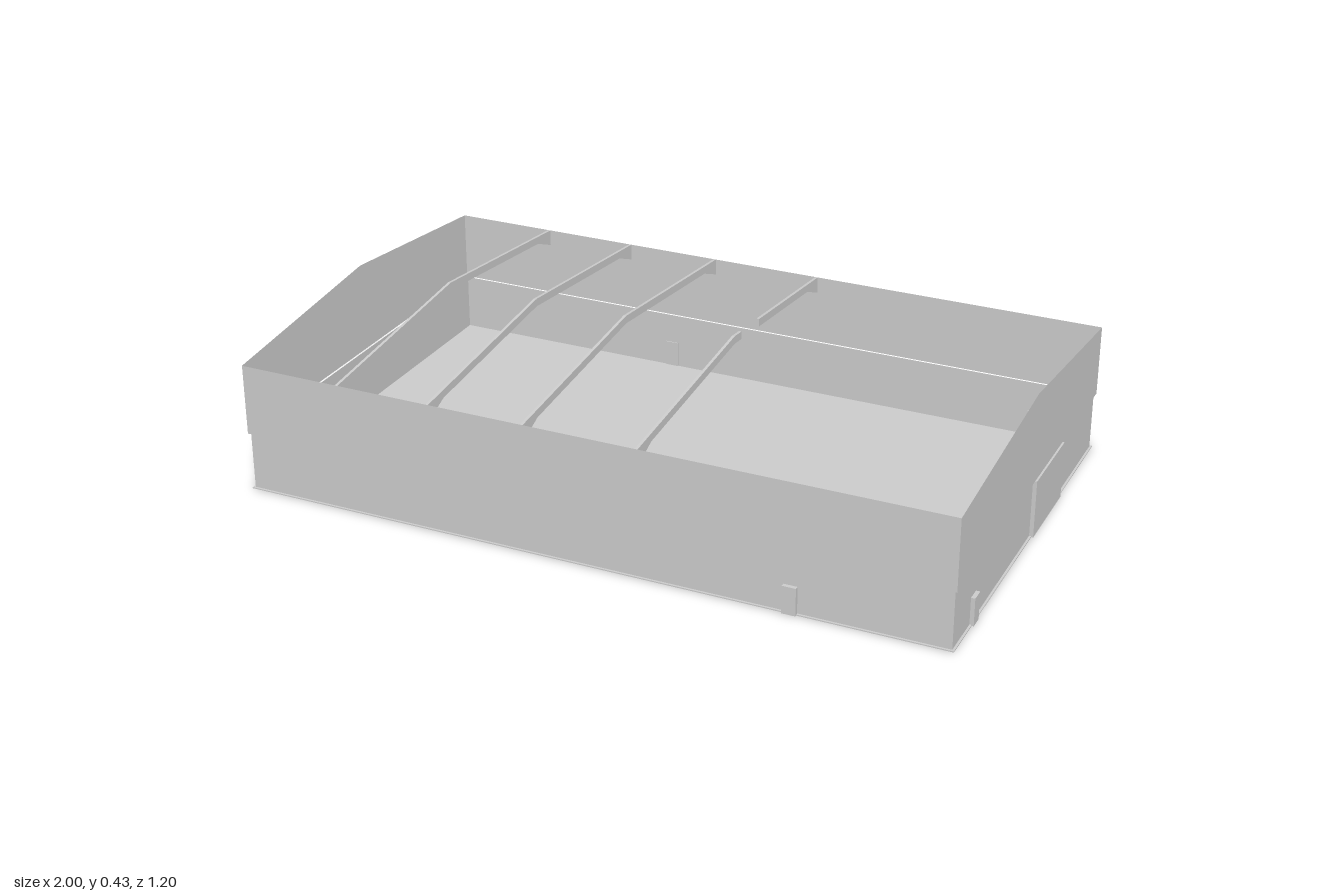
import * as THREE from 'three';

const X = 0.995, Z = 0.595;      // half length and half width of the hall
const EAVE = 0.365, PEAK = 0.425; // roof heights
const SILL = 0.165, INSET = 0.006; // lower wall height and setback

const material = new THREE.MeshStandardMaterial({ color: 0xcccccc, flatShading: true, side: THREE.DoubleSide });

export function createModel() {
  const group = new THREE.Group();

  const add = (name, geometry, x = 0, y = 0, z = 0, turn = 0) => {
    const mesh = new THREE.Mesh(geometry, material);
    mesh.name = name;
    mesh.position.set(x, y, z);
    mesh.rotation.y = turn;
    group.add(mesh);
  };
  const box = (name, w, h, d, x, y, z) => add(name, new THREE.BoxGeometry(w, h, d), x, y + h / 2, z);
  const outline = (points) => new THREE.Shape(points.map(([a, b]) => new THREE.Vector2(a, b)));

  // Floor slab
  box('floor', 2 * X, 0.003, 2 * Z, 0, 0, 0);

  // Thin walls: a set-back lower band, upper panels and gables above it
  const gable = new THREE.ShapeGeometry(outline([[-Z, SILL], [Z, SILL], [Z, EAVE], [0, PEAK], [-Z, EAVE]]));
  for (const s of [1, -1]) {
    const turn = s > 0 ? 0 : Math.PI;
    add('upperSideWall', new THREE.PlaneGeometry(2 * X, EAVE - SILL), 0, (EAVE + SILL) / 2, s * Z, turn);
    add('lowerSideWall', new THREE.PlaneGeometry(2 * (X - INSET), SILL), 0, SILL / 2, s * (Z - INSET), turn);
    add('gableWall', gable, s * X, 0, 0, s * Math.PI / 2);
    add('lowerEndWall', new THREE.PlaneGeometry(2 * (Z - INSET), SILL), s * (X - INSET), SILL / 2, 0, s * Math.PI / 2);
  }

  // Doors in the long walls: [x, side]
  for (const [x, s] of [[0.57, 1], [-0.295, -1], [0.825, -1]])
    box('sideDoor', 0.038, 0.078, 0.014, x, 0, s * 0.593);

  // Doors in the end walls: [z, side]
  for (const [z, s] of [[0.442, 1], [0.145, -1]])
    box('endDoor', 0.014, 0.078, 0.038, s * 0.993, 0, z);

  // Large gate
  box('gate', 0.025, 0.164, 0.246, 0.9875, 0, -0.148);

  // Roof beams follow the roof slope and deepen towards the walls
  const roof = (z) => PEAK - (PEAK - EAVE) * Math.abs(z) / Z;
  const depth = (z) => 0.022 + 0.025 * Math.max(0, (Math.abs(z) - Z + 0.08) / 0.08);
  const knots = [-Z, -Z + 0.08, 0, Z - 0.08, Z];
  const beam = (x, from, to) => {
    const stations = [from, ...knots.filter((z) => z > from && z < to), to];
    const top = stations.map((z) => [-z, roof(z)]);
    const bottom = stations.map((z) => [-z, roof(z) - depth(z)]).reverse();
    const width = 0.008;
    const geometry = new THREE.ExtrudeGeometry(outline([...top, ...bottom]), { depth: width, bevelEnabled: false });
    add('roofBeam', geometry, x - width / 2, 0, 0, Math.PI / 2);
  };
  for (const x of [-0.705, -0.435, -0.162]) beam(x, -Z, Z);

  // The last beam is interrupted near the ridge
  beam(0.157, -Z, -0.165);
  beam(0.157, -0.045, Z);

  return group;
}
